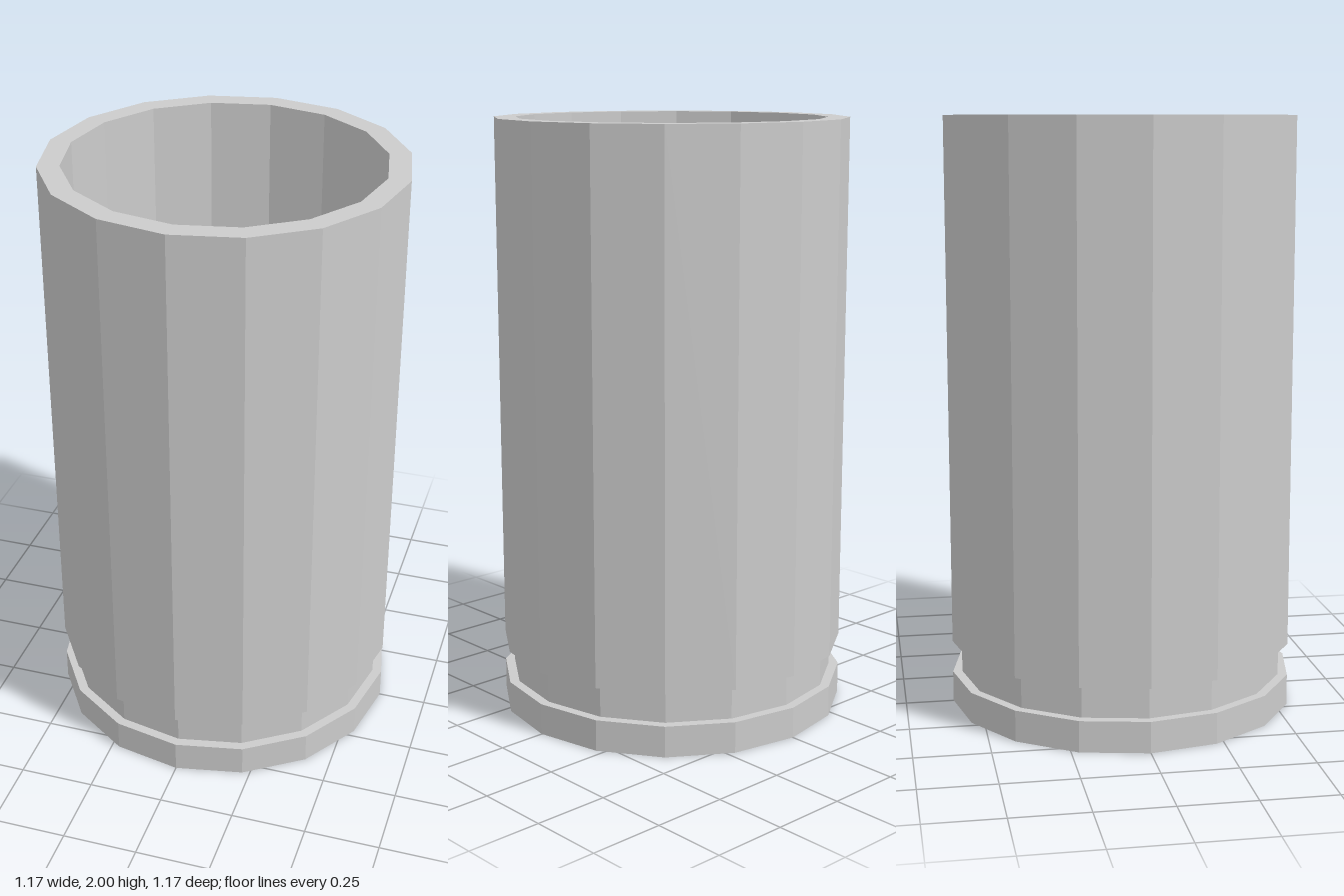
import * as THREE from 'three';

const SIDES = 16;
const OUTER = 0.587, INNER = 0.515, GROOVE = 0.555, POCKET = 0.335;
const RIM_TOP = 0.105, GROOVE_TOP = 0.215, TOP = 2;
const FLOOR = 0.22, POCKET_DEPTH = 0.035;

export function createModel() {
  const group = new THREE.Group();
  group.name = 'casing';
  const material = new THREE.MeshStandardMaterial({ color: 0xcccccc, flatShading: true });

  // Revolves a [radius, height] profile into a faceted part
  const turn = (name, profile) => {
    const points = profile.map(([r, y]) => new THREE.Vector2(r, y));
    const mesh = new THREE.Mesh(new THREE.LatheGeometry(points, SIDES), material);
    mesh.name = name;
    group.add(mesh);
  };

  // Recessed disc in the middle of the base
  turn('basePocket', [[0, POCKET_DEPTH], [POCKET, POCKET_DEPTH], [POCKET, 0]]);

  // Rim flange around the base
  turn('rim', [[POCKET, 0], [OUTER, 0], [OUTER, RIM_TOP], [GROOVE, RIM_TOP]]);

  // Narrow groove between rim and body
  turn('groove', [[GROOVE, RIM_TOP], [GROOVE, GROOVE_TOP]]);

  // Outer wall, mouth edge and hollow inside down to its floor
  turn('body', [
    [GROOVE, GROOVE_TOP], [OUTER, GROOVE_TOP], [OUTER, TOP],
    [INNER, TOP], [INNER, FLOOR], [0, FLOOR],
  ]);

  return group;
}
